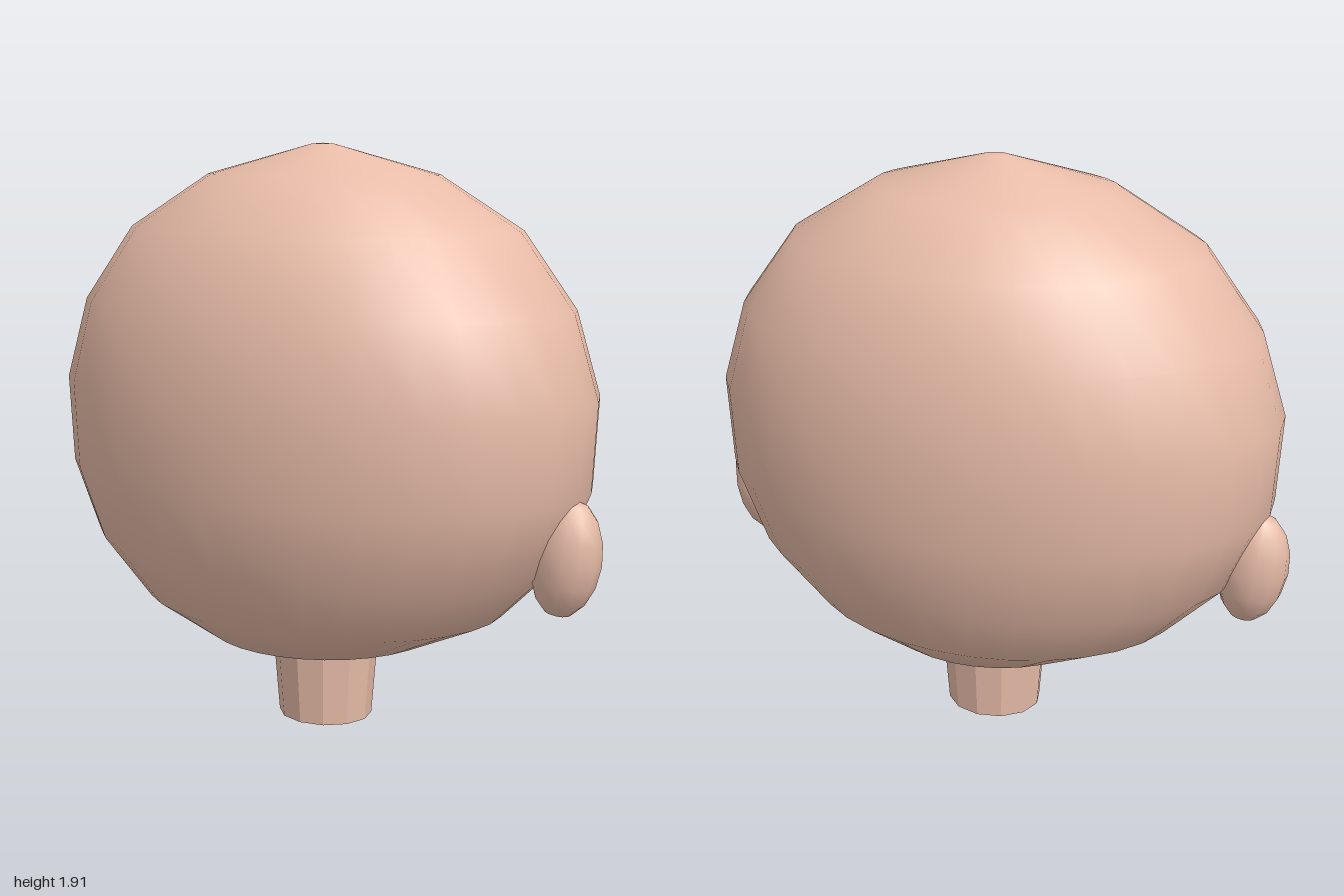
import * as THREE from 'three';
import { mergeVertices } from 'three/addons/utils/BufferGeometryUtils.js';

const skin = new THREE.MeshStandardMaterial({ color: 0xe8bca8 });
const flatSkin = new THREE.MeshStandardMaterial({ color: 0xe8bca8, flatShading: true });

// Drop the seam so the normals run smoothly all the way round
function smooth(geometry) {
  geometry.deleteAttribute('uv');
  geometry.deleteAttribute('normal');
  const merged = mergeVertices(geometry, 1e-4);
  merged.computeVertexNormals();
  return merged;
}

// Elliptical rings of the head from crown to chin: [height, half width, half depth]
const HEAD_RINGS = [
  [1.908, 0, 0], [1.905, 0.04, 0.03], [1.81, 0.4, 0.31], [1.64, 0.68, 0.51],
  [1.4, 0.86, 0.625], [1.135, 0.945, 0.665], [0.85, 0.93, 0.655], [0.61, 0.83, 0.6],
  [0.42, 0.64, 0.5], [0.305, 0.39, 0.365], [0.262, 0.17, 0.15], [0.25, 0, 0],
];

function headGeometry() {
  const sides = 32;
  const geometry = new THREE.SphereGeometry(1, sides, HEAD_RINGS.length - 1);
  const pos = geometry.attributes.position;
  for (let i = 0; i < pos.count; i++) {
    const [y, rx, rz] = HEAD_RINGS[Math.floor(i / (sides + 1))];
    const a = ((i % (sides + 1)) / sides) * Math.PI * 2;
    pos.setXYZ(i, -Math.cos(a) * rx, y, Math.sin(a) * rz);
  }
  return smooth(geometry);
}

export function createModel() {
  const model = new THREE.Group();

  const head = new THREE.Mesh(headGeometry(), skin);
  head.name = 'head';
  model.add(head);

  // Ears: low flattened ellipsoids leaning outward at the top
  const earShape = smooth(new THREE.SphereGeometry(1, 12, 8, Math.PI / 12));
  for (const side of [1, -1]) {
    const ear = new THREE.Mesh(earShape, skin);
    ear.name = side > 0 ? 'leftEar' : 'rightEar';
    ear.scale.set(0.112, 0.188, 0.1);
    ear.position.set(side * 0.89, 0.668, -0.012);
    ear.rotation.z = -side * 0.14;
    model.add(ear);
  }

  // Neck: faceted, widening slightly into the head
  const neck = new THREE.Mesh(new THREE.CylinderGeometry(0.187, 0.16, 0.34, 12), flatSkin);
  neck.name = 'neck';
  neck.scale.z = 0.93;
  neck.position.set(0, 0.17, -0.016);
  model.add(neck);

  return model;
}
